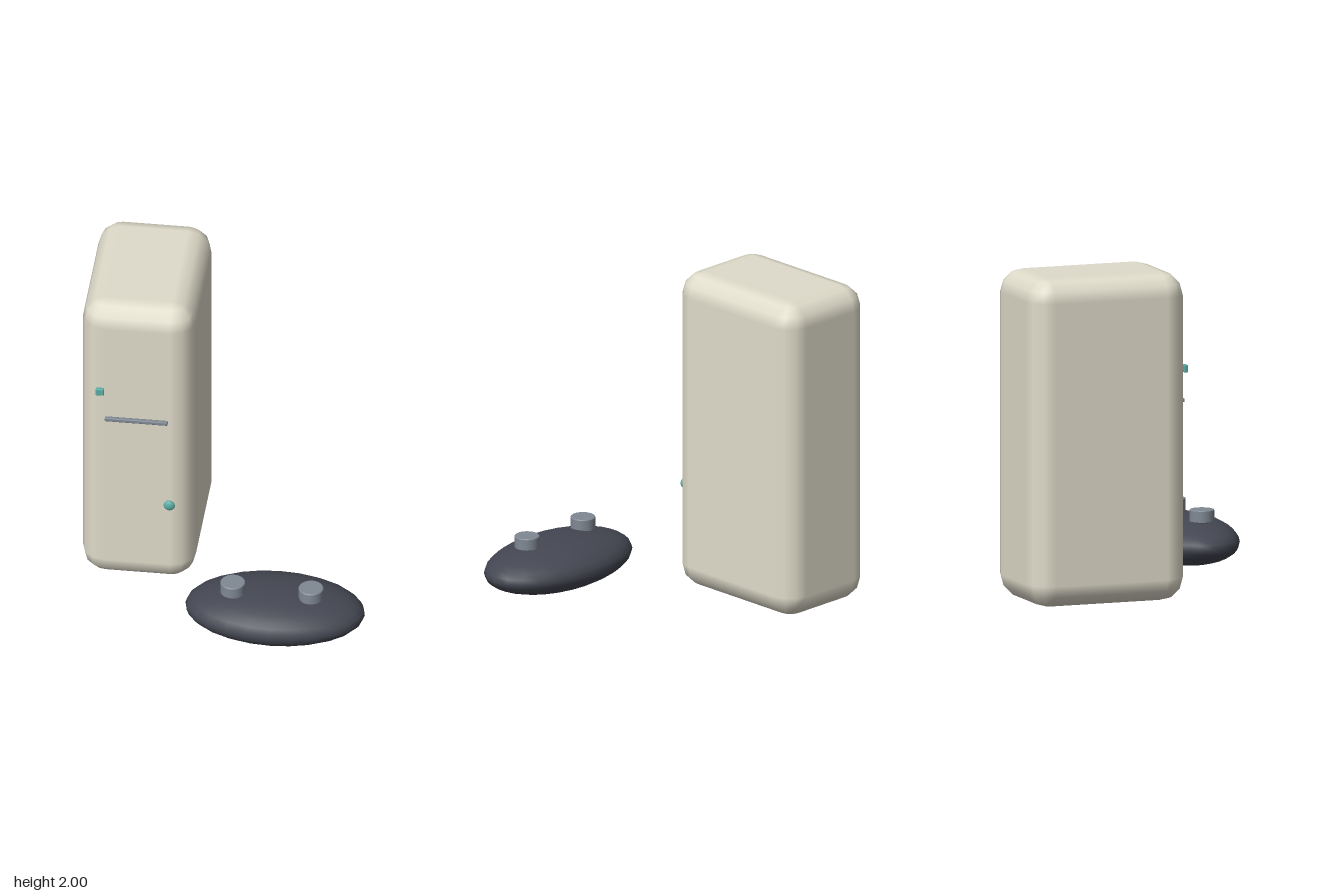
import * as THREE from 'three';

const cream = new THREE.MeshStandardMaterial({ color: 0xe0dccb });
const dark = new THREE.MeshStandardMaterial({ color: 0x444752 });
const grey = new THREE.MeshStandardMaterial({ color: 0x808893 });
const teal = new THREE.MeshStandardMaterial({ color: 0x5aada5 });

// Box with round edges and corners: a sphere's rings pulled apart at the eight octants
function roundedBox(w, h, d, r, steps = 3) {
  const position = [], normal = [], index = [];
  const n = steps + 1, ring = 4 * n, rows = 2 * n;
  for (let row = 0; row < rows; row++) {
    const upper = row >= n;
    const phi = ((upper ? row - n : row - steps) / steps) * Math.PI / 2;
    for (let i = 0; i < ring; i++) {
      const q = Math.floor(i / n);
      const a = (q + (i % n) / steps) * Math.PI / 2;
      const v = [Math.cos(a) * Math.cos(phi), Math.sin(phi), -Math.sin(a) * Math.cos(phi)];
      const sx = q === 0 || q === 3 ? 1 : -1, sy = upper ? 1 : -1, sz = q < 2 ? -1 : 1;
      normal.push(...v);
      position.push(sx * (w / 2 - r) + v[0] * r, sy * (h / 2 - r) + v[1] * r, sz * (d / 2 - r) + v[2] * r);
      if (row < rows - 1) {
        const j = (i + 1) % ring, A = row * ring, B = A + ring;
        if (row > 0) index.push(A + i, A + j, B + j);
        else index.push(A + i, B + j, B + i, A + i, A + j, B + j);
        if (row > 0) index.push(A + i, B + j, B + i);
      }
    }
  }
  // flat bottom and top
  const t = (rows - 1) * ring;
  index.push(0, 2 * n, n, 0, 3 * n, 2 * n);
  index.push(t, t + n, t + 2 * n, t, t + 2 * n, t + 3 * n);
  const g = new THREE.BufferGeometry();
  g.setAttribute('position', new THREE.Float32BufferAttribute(position, 3));
  g.setAttribute('normal', new THREE.Float32BufferAttribute(normal, 3));
  g.setIndex(index);
  return g;
}

export function createModel() {
  const model = new THREE.Group();
  const add = (name, geometry, material, x, y, z) => {
    const mesh = new THREE.Mesh(geometry, material);
    mesh.name = name;
    mesh.position.set(x, y, z);
    model.add(mesh);
    return mesh;
  };

  // Upright console with its front details
  add('consoleBody', roundedBox(0.684, 2, 1.004, 0.142), cream, -0.549, 1, -0.371);
  add('discSlot', roundedBox(0.38, 0.024, 0.026, 0.006), grey, -0.55, 1.203, 0.144);
  add('squareButton', roundedBox(0.05, 0.046, 0.024, 0.005), teal, -0.77, 1.403, 0.145);
  add('roundButton', new THREE.SphereGeometry(1, 24, 16), teal, -0.348, 0.605, 0.161)
    .scale.set(0.034, 0.034, 0.019);

  // Controller lying in front
  add('controllerBody', new THREE.SphereGeometry(1, 24, 16), dark, 0.343, 0.185, 0.549)
    .scale.set(0.543, 0.151, 0.321);

  // Thumb sticks with slightly eased rims
  const profile = [[0, 0], [0.07, 0], [0.07, 0], [0.075, 0.005], [0.075, 0.005], [0.075, 0.072], [0.075, 0.072],
    [0.07, 0.077], [0.07, 0.077], [0, 0.077]].map(([x, y]) => new THREE.Vector2(x, y));
  const stick = new THREE.LatheGeometry(
    profile.filter((p, i) => i === 0 || !p.equals(profile[i - 1])), 32).toNonIndexed();
  stick.computeVertexNormals();
  // smooth round the wall, flat on the caps
  const p = stick.attributes.position, nm = stick.attributes.normal;
  for (let i = 0; i < p.count; i++) {
    const ny = nm.getY(i), radius = Math.hypot(p.getX(i), p.getZ(i));
    if (Math.abs(ny) > 0.95 || radius < 0.01) continue;
    const s = Math.sqrt(1 - ny * ny) / radius;
    nm.setXYZ(i, p.getX(i) * s, ny, p.getZ(i) * s);
  }
  for (const [name, x] of [['rightStick', 0.092], ['leftStick', 0.566]]) {
    add(name, stick, grey, x, 0.315, 0.59);
  }
  return model;
}
